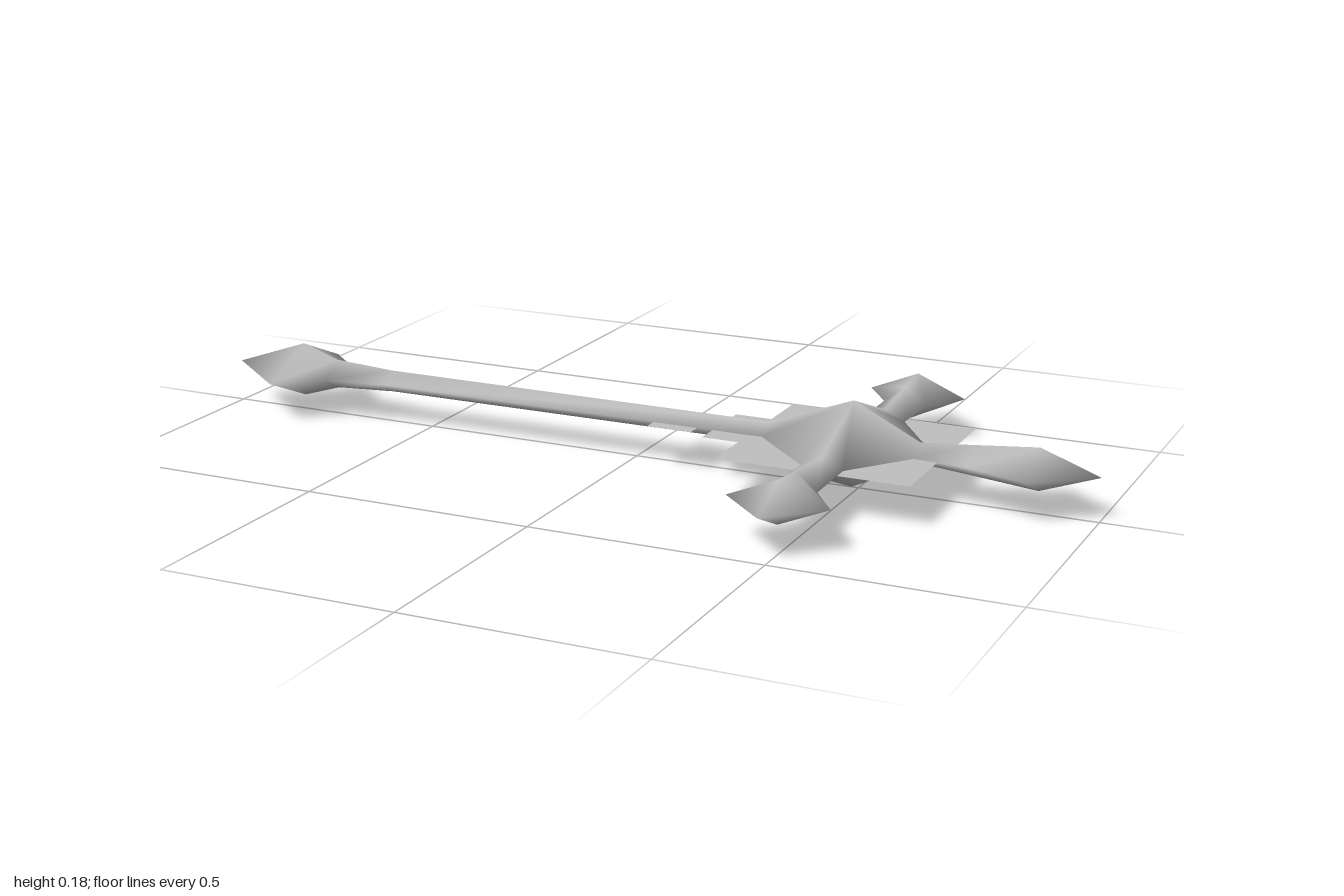
import * as THREE from 'three';

const CX = 0.485, CY = 0.092; // hub centre

export function createModel() {
  const group = new THREE.Group();
  const steel = new THREE.MeshStandardMaterial({ color: 0xc0c0c0 });
  steel.name = 'grey metal';
  const plateGrey = steel.clone();
  plateGrey.name = 'grey plate';
  plateGrey.side = THREE.DoubleSide;

  // Shared vertices, so shading runs smoothly from the hub into the arms
  const positions = [], lookup = new Map(), parts = {};
  const vert = (x, y, z) => {
    const key = [x, y, z].map(v => Math.round(v * 1e4)).join();
    if (!lookup.has(key)) {
      lookup.set(key, positions.length / 3);
      positions.push(x, y, z);
    }
    return lookup.get(key);
  };
  const tri = (part, a, b, c) => {
    if (a !== b && b !== c && c !== a) (parts[part] ??= []).push(a, b, c);
  };

  // Arms in counterclockwise order; stations: [distance, half width, half height]
  const crossArm = start => [[start, 0.045, 0.022], [0.32, 0.047, 0.037], [0.405, 0.107, 0.045], [0.507, 0, 0]];
  const arms = [
    ['leftArm', 1, 0, [[0.145, 0.042, 0.022], [0.255, 0.052, 0.032], [0.39, 0.095, 0.045], [0.515, 0, 0]]],
    ['backArm', 0, -1, crossArm(0.19)],
    ['longShaft', -1, 0, [[0.185, 0.035, 0.023], [1.085, 0.036, 0.024], [1.225, 0.06, 0.032], [1.315, 0.14, 0.06], [1.485, 0, 0]]],
    ['frontArm', 0, 1, crossArm(0.175)],
  ];

  const rim = [], lowerRim = [];
  for (const [name, dx, dz, stations] of arms) {
    // Diamond cross-sections: side, top, side, bottom
    const rings = stations.map(([d, w, h]) =>
      [[-w, 0], [0, h], [w, 0], [0, -h]].map(([s, u]) =>
        vert(CX + dx * d + dz * s, CY + u, dz * d - dx * s)));
    for (let k = 0; k + 1 < rings.length; k++) {
      const a = rings[k], b = rings[k + 1];
      for (let i = 0; i < 4; i++) {
        const j = (i + 1) % 4;
        tri(name, a[i], b[i], b[j]);
        tri(name, a[i], b[j], a[j]);
      }
    }
    const [s0, top, s1, bottom] = rings[0];
    rim.push(s0, top, s1);
    lowerRim.push(s0, bottom, s1);
  }

  // Hub: a low pyramid above and below, meeting every arm
  const apex = vert(CX, CY * 2, 0), nadir = vert(CX, 0, 0);
  rim.forEach((p, i) => {
    const n = (i + 1) % rim.length;
    tri('hub', apex, p, rim[n]);
    tri('hub', nadir, lowerRim[n], lowerRim[i]);
  });

  const whole = new THREE.BufferGeometry();
  whole.setAttribute('position', new THREE.Float32BufferAttribute(positions, 3));
  whole.setIndex(Object.values(parts).flat());
  whole.computeVertexNormals();
  for (const [name, index] of Object.entries(parts)) {
    const geometry = new THREE.BufferGeometry();
    geometry.setAttribute('position', whole.attributes.position);
    geometry.setAttribute('normal', whole.attributes.normal);
    geometry.setIndex(index);
    const mesh = new THREE.Mesh(geometry, steel);
    mesh.name = name;
    group.add(mesh);
  }

  // Flat stepped plates through the middle: [name, x from, x to, half depth]
  for (const [name, x0, x1, hz] of [
    ['largePlate', 0.27, 0.68, 0.21],
    ['middlePlate', 0.19, 0.27, 0.09],
    ['smallPlate', 0.055, 0.155, 0.068],
  ]) {
    const plate = new THREE.Mesh(new THREE.PlaneGeometry(x1 - x0, hz * 2).rotateX(-Math.PI / 2), plateGrey);
    plate.position.set((x0 + x1) / 2, CY, 0);
    plate.name = name;
    group.add(plate);
  }
  return group;
}
